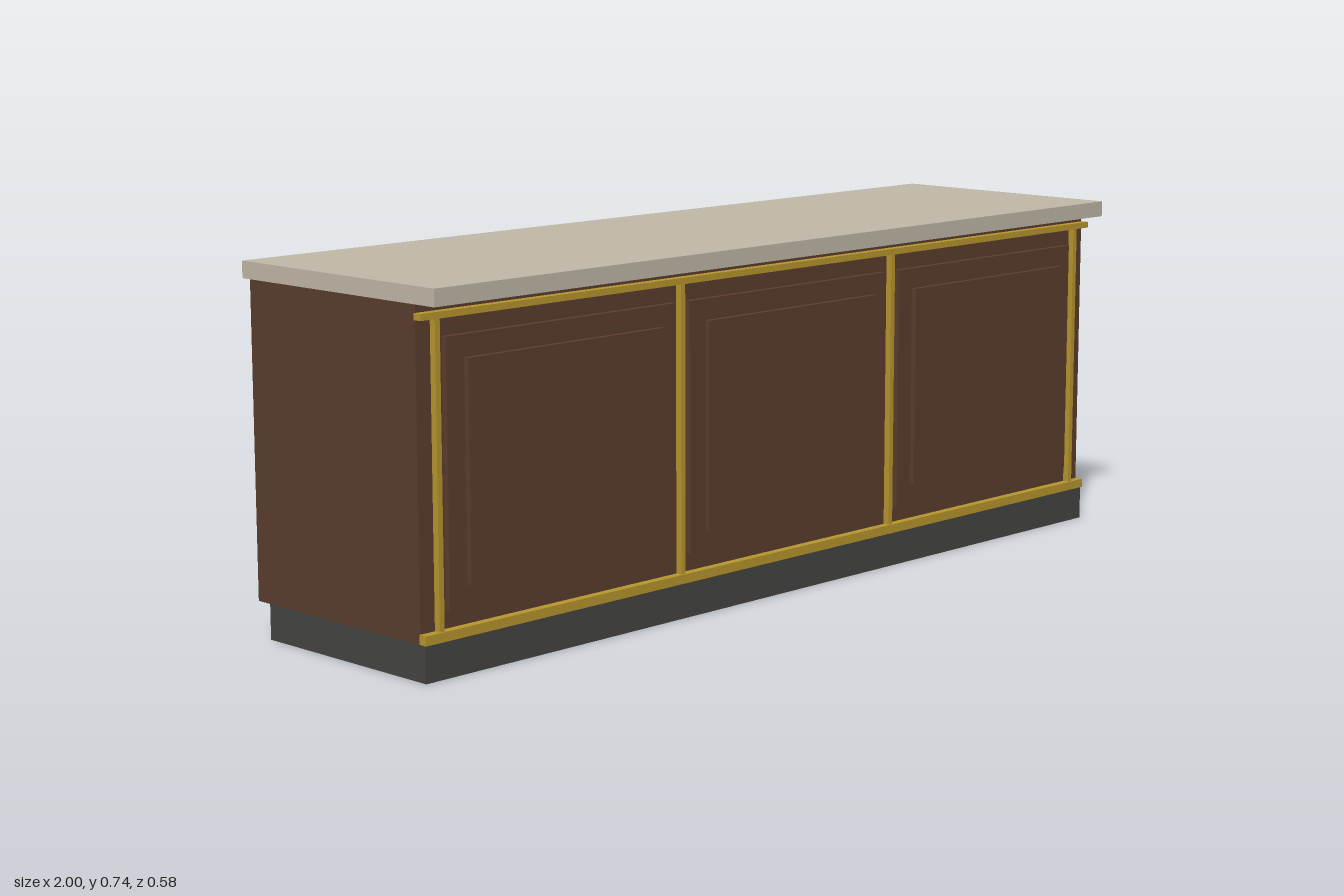
import * as THREE from 'three';

const material = (color) => new THREE.MeshStandardMaterial({ color });

export function createModel() {
  const model = new THREE.Group();
  model.name = 'kitchenIsland';
  const wood = material(0x5c3d2e);
  const stone = material(0xc0b8a8);
  const dark = material(0x444442);
  const brass = material(0xb8962e);

  // Box given by its limits on each axis
  function box(name, mat, [x0, x1], [y0, y1], [z0, z1]) {
    const mesh = new THREE.Mesh(new THREE.BoxGeometry(x1 - x0, y1 - y0, z1 - z0), mat);
    mesh.position.set((x0 + x1) / 2, (y0 + y1) / 2, (z0 + z1) / 2);
    mesh.name = name;
    model.add(mesh);
  }

  // Round bar along the x or z axis
  function rod(name, axis, radius, length, x, y, z) {
    const mesh = new THREE.Mesh(new THREE.CylinderGeometry(radius, radius, length, 16), brass);
    if (axis === 'x') mesh.rotation.z = Math.PI / 2;
    else mesh.rotation.x = Math.PI / 2;
    mesh.position.set(x, y, z);
    mesh.name = name;
    model.add(mesh);
  }

  // Main masses
  box('plinth', dark, [-0.998, 0.998], [0, 0.072], [-0.218, 0.246]);
  box('cabinetBody', wood, [-0.998, 0.998], [0.072, 0.708], [-0.254, 0.232]);
  box('countertop', stone, [-1, 1], [0.708, 0.742], [-0.275, 0.288]);

  // Brass trim on the front
  box('bottomRail', brass, [-1, 1], [0.073, 0.092], [0.231, 0.25]);
  box('topRail', brass, [-1, 1], [0.679, 0.692], [0.231, 0.25]);
  for (const x of [-0.957, -0.319, 0.319, 0.957]) {
    box('trimPost', brass, [x - 0.006, x + 0.006], [0.092, 0.679], [0.231, 0.246]);
  }

  // Stepped front panels
  for (const x of [-0.638, 0, 0.638]) {
    box('frontPanel', wood, [x - 0.298, x + 0.298], [0.129, 0.643], [0.231, 0.245]);
    box('raisedPanel', wood, [x - 0.255, x + 0.255], [0.171, 0.6], [0.24, 0.257]);
  }

  // Drawers and doors on the back, with their hardware
  for (const x of [-0.708, -0.236, 0.236, 0.708]) {
    const span = [x - 0.229, x + 0.229];
    box('drawerFront', wood, span, [0.601, 0.692], [-0.269, -0.253]);
    box('door', wood, span, [0.1, 0.572], [-0.269, -0.253]);

    rod('knobStem', 'z', 0.003, 0.016, x, 0.647, -0.276);
    rod('knobHead', 'z', 0.008, 0.005, x, 0.647, -0.2855);

    rod('pullBar', 'x', 0.003, 0.07, x, 0.505, -0.275);
    for (const side of [-1, 1]) rod('pullPost', 'z', 0.002, 0.008, x + side * 0.027, 0.505, -0.272);
  }

  return model;
}
